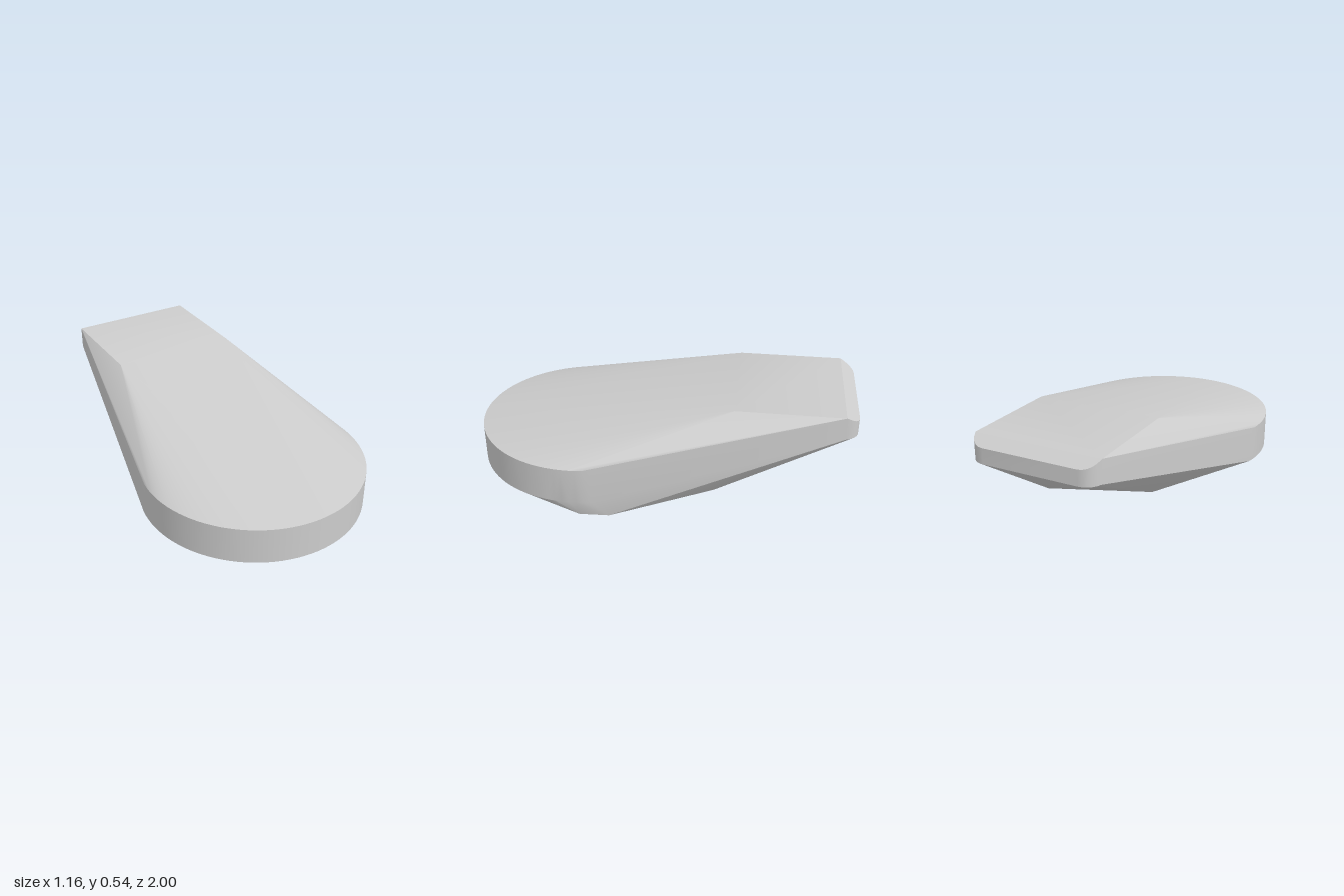
import * as THREE from 'three';
import { ConvexGeometry } from 'three/addons/geometries/ConvexGeometry.js';
import { toCreasedNormals } from 'three/addons/utils/BufferGeometryUtils.js';

export function createModel() {
  const group = new THREE.Group();
  const points = [];
  const add = (x, y, z) => points.push(new THREE.Vector3(x, y, z));

  // Round front rim: upper and lower arcs
  const segments = 56;
  for (let i = 0; i <= segments; i++) {
    const a = -0.2 + (i / segments) * (Math.PI + 0.4);
    const x = 0.578 * Math.cos(a);
    const z = 0.422 + 0.578 * Math.sin(a);
    add(x, 0.28, z);
    add(x, 0.09, z);
  }

  for (const side of [-1, 1]) {
    // Raised flat top at the narrow end
    add(side * 0.335, 0.54, -0.385);
    add(side * 0.335, 0.54, -0.93);

    // Rounded back corners with a sloping top edge
    for (let i = 0; i <= 6; i++) {
      const a = (i / 6) * Math.PI / 2;
      const x = side * (0.25 + 0.085 * Math.cos(a));
      const z = -0.915 - 0.085 * Math.sin(a);
      add(x, 0.42, z);
      add(x, 0.54 - 0.57 * Math.max(0, -0.93 - z), z);
    }
  }

  // Lopsided keel underneath
  add(0.56, 0.008, 0.37);
  add(0.545, 0.002, 0.22);
  add(-0.09, 0, -0.135);
  add(-0.18, 0, -0.13);
  add(0.337, 0.064, -0.296);
  add(0.014, 0.28, -0.83);

  const geometry = toCreasedNormals(new ConvexGeometry(points), 0.3);
  const body = new THREE.Mesh(geometry, new THREE.MeshStandardMaterial({ color: 0xcccccc }));
  body.name = 'taperedBody';
  group.add(body);
  return group;
}
